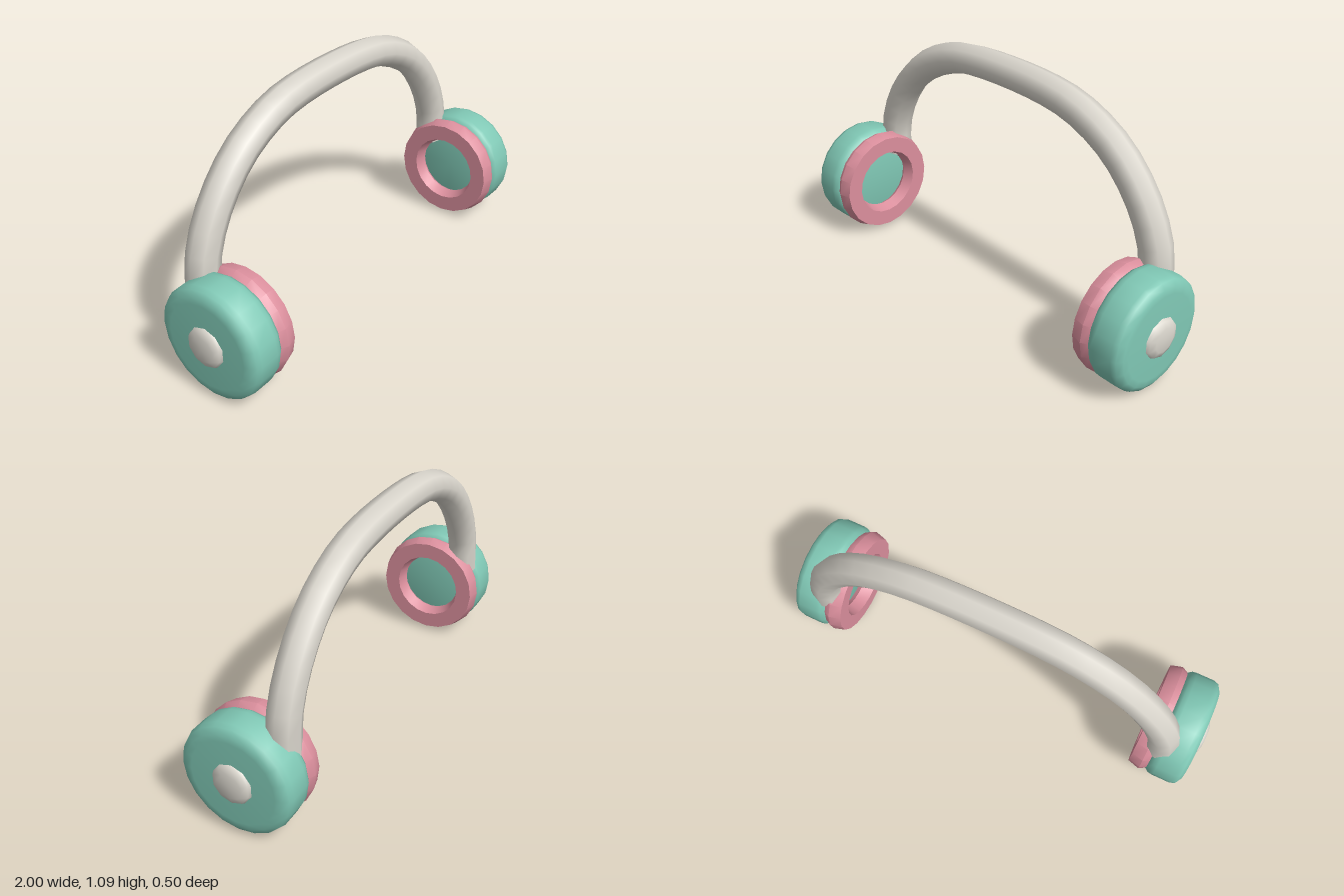
import * as THREE from 'three';
import { toCreasedNormals } from 'three/addons/utils/BufferGeometryUtils.js';

const CUP_Y = 0.254; // height of the ear cup axis

export function createModel() {
  const teal = new THREE.MeshStandardMaterial({ color: 0x80c8b5 });
  const pink = new THREE.MeshStandardMaterial({ color: 0xdb8f9d });
  const cream = new THREE.MeshStandardMaterial({ color: 0xdad6cd });
  teal.name = 'teal';
  pink.name = 'pink';
  cream.name = 'cream';

  const model = new THREE.Group();
  model.name = 'headphones';

  // Turned part around the x axis; profile is [radius, x] from inside to outside
  const turned = (name, profile, sides, start, crease, material) => {
    const points = profile.map(([r, x]) => new THREE.Vector2(r, x));
    const geometry = new THREE.LatheGeometry(points, sides, start);
    geometry.rotateZ(-Math.PI / 2);
    const mesh = new THREE.Mesh(toCreasedNormals(geometry, crease), material);
    mesh.name = name;
    return mesh;
  };

  // Ear pieces, the second one turned half round
  for (const [name, angle] of [['leftEarpiece', 0], ['rightEarpiece', Math.PI]]) {
    const earpiece = new THREE.Group();
    earpiece.name = name;
    earpiece.position.y = CUP_Y;
    earpiece.rotation.y = angle;

    earpiece.add(turned('earCup', [
      [0, 0.805], [0.215, 0.805], [0.235, 0.812], [0.248, 0.83], [0.251, 0.85],
      [0.251, 0.935], [0.243, 0.957], [0.217, 0.973], [0.19, 0.975], [0, 0.975],
    ], 20, 0, 0.85, teal));

    earpiece.add(turned('earCushion', [
      [0.16, 0.73], [0.235, 0.73], [0.25, 0.783], [0.235, 0.812],
      [0.16, 0.812], [0.142, 0.783], [0.16, 0.73],
    ], 20, 0, 0.8, pink));

    earpiece.add(turned('capButton', [
      [0.08, 0.965], [0.09, 0.975], [0.083, 0.988], [0.055, 0.998], [0, 1],
    ], 10, Math.PI / 2, 0.9, cream));

    model.add(earpiece);
  }

  // Headband: eight-sided tube along a mirrored arch, ends sunk in the cups
  const half = [
    [0.825, 0.36], [0.818, 0.5], [0.775, 0.63], [0.69, 0.765],
    [0.565, 0.885], [0.385, 0.975], [0.2, 1.01],
  ];
  const arch = [...half, ...half.map(([x, y]) => [-x, y]).reverse()]
    .map(([x, y]) => new THREE.Vector3(x, y, -0.142));
  const curve = new THREE.CatmullRomCurve3(arch);
  const headband = new THREE.Mesh(new THREE.TubeGeometry(curve, 27, 0.0715, 8), cream);
  headband.name = 'headband';
  model.add(headband);

  return model;
}
